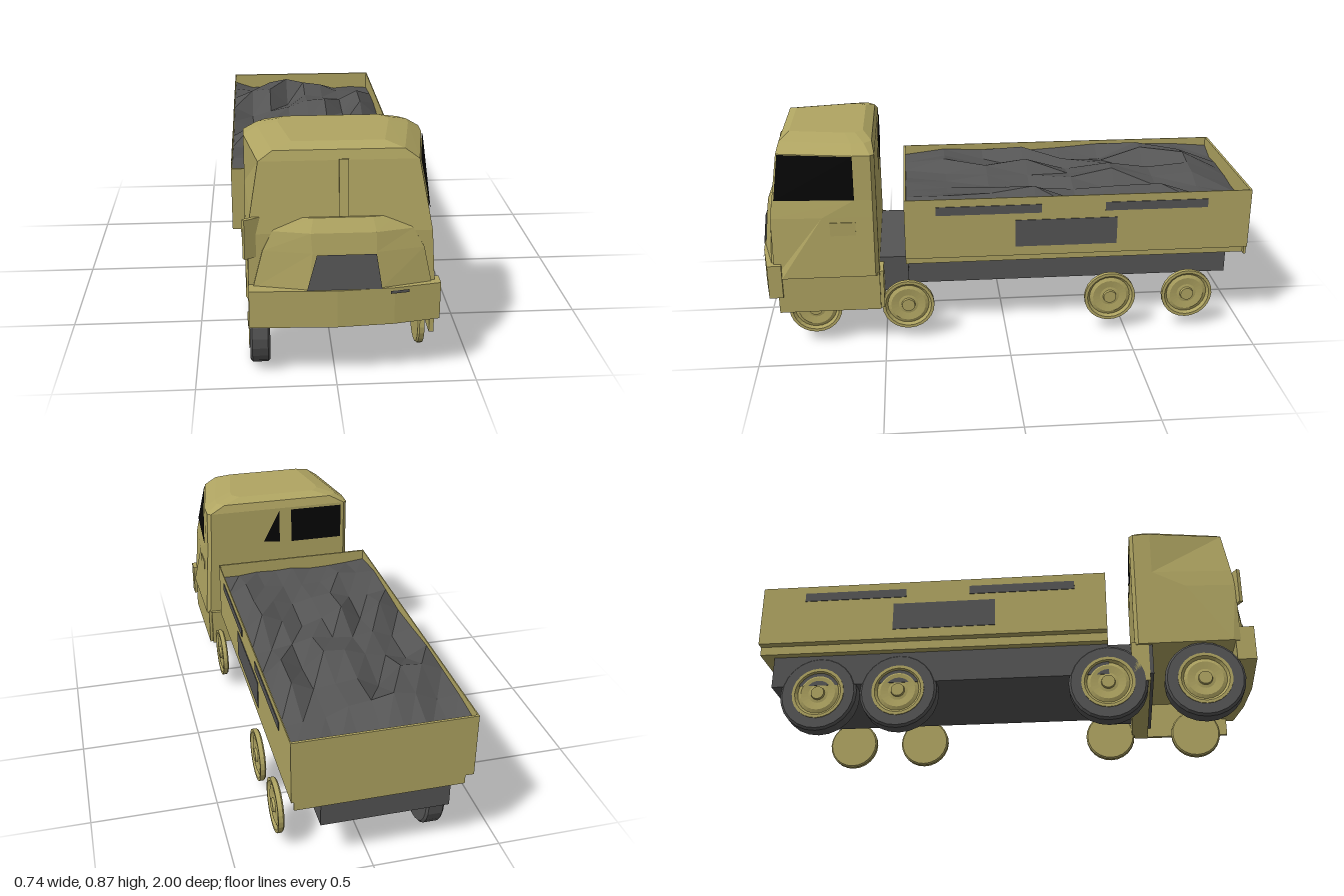
import * as THREE from 'three';

const paint = (name, color, side = THREE.FrontSide) => {
  const m = new THREE.MeshStandardMaterial({ color, flatShading: true, side });
  m.name = name;
  return m;
};
const khaki = paint('khakiPaint', 0xb0a562);
const grey = paint('darkGrey', 0x555555, THREE.DoubleSide);
const black = paint('blackGlass', 0x060606, THREE.DoubleSide);

export function createModel() {
  const truck = new THREE.Group();
  truck.name = 'truck';

  const add = (name, geometry, material, parent = truck) => {
    const mesh = new THREE.Mesh(geometry, material);
    mesh.name = name;
    parent.add(mesh);
    return mesh;
  };

  // Box given by its limits on each axis
  const box = (name, material, x0, x1, y0, y1, z0, z1) => {
    const mesh = add(name, new THREE.BoxGeometry(x1 - x0, y1 - y0, z1 - z0), material);
    mesh.position.set((x0 + x1) / 2, (y0 + y1) / 2, (z0 + z1) / 2);
    return mesh;
  };

  // Flat polygon from corners in order
  const plate = (name, material, corners) => {
    const g = new THREE.BufferGeometry();
    g.setAttribute('position', new THREE.Float32BufferAttribute(corners.flat(), 3));
    const index = [];
    for (let i = 1; i < corners.length - 1; i++) index.push(0, i, i + 1);
    g.setIndex(index);
    g.computeVertexNormals();
    return add(name, g, material);
  };

  // Closed loft through level eight-sided sections, bottom to top
  // section: [y, x0, x1, z0, z1, frontChamferX, frontChamferZ, rearChamfer]
  const loft = (name, material, sections) => {
    const pos = [], index = [];
    for (const [y, x0, x1, z0, z1, cx, cz, r] of sections) {
      [[x0 + cx, z1], [x1 - cx, z1], [x1, z1 - cz], [x1, z0 + r],
        [x1 - r, z0], [x0 + r, z0], [x0, z0 + r], [x0, z1 - cz]]
        .forEach(([x, z]) => pos.push(x, y, z));
    }
    const top = (sections.length - 1) * 8;
    for (let s = 0; s < top; s += 8) {
      for (let i = 0; i < 8; i++) {
        const j = (i + 1) % 8;
        index.push(s + i, s + j, s + 8 + j, s + i, s + 8 + j, s + 8 + i);
      }
    }
    for (let i = 1; i < 7; i++) index.push(top, top + i, top + i + 1, 0, i + 1, i);
    const g = new THREE.BufferGeometry();
    g.setAttribute('position', new THREE.Float32BufferAttribute(pos, 3));
    g.setIndex(index);
    g.computeVertexNormals();
    return add(name, g, material);
  };

  // Cab shell, narrowing toward the windscreen, with rounded roof
  loft('cab', khaki, [
    [0.31, -0.315, 0.36, 0.515, 0.93, 0.01, 0.03, 0.015],
    [0.56, -0.315, 0.345, 0.515, 0.93, 0.012, 0.2, 0.015],
    [0.63, -0.315, 0.34, 0.515, 0.92, 0.02, 0.32, 0.015],
    [0.81, -0.315, 0.335, 0.515, 0.895, 0.05, 0.295, 0.015],
    [0.845, -0.265, 0.285, 0.525, 0.885, 0.05, 0.28, 0.03],
    [0.865, -0.19, 0.21, 0.56, 0.85, 0.04, 0.22, 0.03],
  ]);
  box('cabRearSkirt', khaki, -0.305, 0.34, 0.157, 0.32, 0.5, 0.57);
  box('cabSideSkirt', khaki, 0.335, 0.352, 0.157, 0.32, 0.515, 0.92);
  box('doorHandlePlate', khaki, 0.34, 0.35, 0.485, 0.54, 0.6, 0.7);

  // Windscreen centre bar
  const bar = box('windscreenBar', khaki, 0.01, 0.043, 0.615, 0.815, 0.903, 0.915);
  bar.rotation.x = -0.138;

  // Side and rear windows
  plate('sideWindow', black, [
    [0.325, 0.632, 0.912], [0.345, 0.632, 0.6], [0.34, 0.808, 0.6], [0.29, 0.808, 0.89]]);
  plate('rearWindow', black, [
    [-0.05, 0.642, 0.512], [-0.285, 0.642, 0.512], [-0.285, 0.8, 0.512], [-0.05, 0.8, 0.512]]);
  plate('rearWindowCorner', black, [
    [0.08, 0.655, 0.512], [0.005, 0.645, 0.512], [0.005, 0.8, 0.512]]);

  // Sloping nose, grille and mirror
  loft('nose', khaki, [
    [0.36, -0.29, 0.335, 0.86, 0.985, 0.19, 0.045, 0.005],
    [0.5, -0.255, 0.305, 0.86, 0.97, 0.17, 0.035, 0.005],
    [0.57, -0.22, 0.265, 0.86, 0.96, 0.13, 0.03, 0.005],
    [0.615, -0.17, 0.215, 0.86, 0.93, 0.09, 0.02, 0.005],
  ]);
  plate('grille', grey, [
    [-0.105, 0.37, 0.99], [0.155, 0.37, 0.99], [0.135, 0.496, 0.976], [-0.07, 0.496, 0.976]]);
  const mirror = box('mirror', khaki, -0.323, -0.26, 0.475, 0.62, 0.922, 0.937);
  mirror.rotation.y = 0.5;

  // Bumper, slightly bowed and skewed in plan
  const plan = new THREE.Shape([[-0.305, -0.91], [0.365, -0.9], [0.365, -0.955], [0.2, -0.985],
    [0, -0.998], [-0.305, -0.985]].map(([x, z]) => new THREE.Vector2(x, z)));
  const bumper = add('bumper', new THREE.ExtrudeGeometry(plan, { depth: 0.14, bevelEnabled: false }), khaki);
  bumper.rotation.x = -Math.PI / 2;
  bumper.position.y = 0.23;
  plate('bumperLamp', grey, [
    [0.185, 0.35, 0.991], [0.25, 0.35, 0.981], [0.25, 0.361, 0.981], [0.185, 0.361, 0.991]]);

  // Chassis
  box('chassis', grey, -0.303, 0.19, 0.19, 0.32, -0.95, 0.41);
  box('chassisFront', grey, -0.25, 0.25, 0.19, 0.34, 0.4, 0.52);
  box('chassisCrossbeam', grey, -0.3, 0.31, 0.188, 0.31, 0.565, 0.585);

  // Open cargo bed
  box('bedBase', khaki, -0.335, 0.28, 0.32, 0.36, -0.99, 0.41);
  box('bedFloor', khaki, -0.368, 0.31, 0.355, 0.37, -0.99, 0.41);
  box('bedSide', khaki, -0.368, -0.364, 0.355, 0.608, -0.99, 0.41);
  box('bedSide', khaki, 0.306, 0.31, 0.355, 0.608, -0.99, 0.41);
  box('bedFront', khaki, -0.368, 0.31, 0.355, 0.608, 0.402, 0.41);
  box('tailgate', khaki, -0.368, 0.31, 0.355, 0.608, -1, -0.99);
  box('tailgateLip', khaki, -0.335, 0.3, 0.32, 0.36, -1, -0.99);

  // Painted panels on both bed sides
  for (const x of [-0.371, 0.309]) {
    box('bedStripe', grey, x, x + 0.004, 0.54, 0.576, -0.14, 0.285);
    box('bedStripe', grey, x, x + 0.004, 0.54, 0.576, -0.82, -0.4);
    box('bedPanel', grey, x, x + 0.004, 0.395, 0.51, -0.45, -0.035);
  }

  // Lumpy load: height range of each row from back to front, lower at the edges
  const noise = (i) => {
    const s = Math.sin(i * 127.1 + 3.7) * 43758.5453;
    return s - Math.floor(s);
  };
  const lumps = [0.02, 0.085, 0.085, 0.085, 0.055, 0.085, 0.055, 0.06, 0.015];
  const cols = 8, rows = 8;
  const load = new THREE.PlaneGeometry(0.67, 1.392, cols, rows);
  load.rotateX(-Math.PI / 2);
  const p = load.attributes.position;
  for (let i = 0; i < p.count; i++) {
    const c = i % (cols + 1), r = Math.floor(i / (cols + 1));
    const base = c === 0 ? 0.565 : c === cols || r === 0 ? 0.53 : 0.545;
    p.setY(i, base + (c % cols === 0 ? 0.03 : lumps[r]) * noise(i));
  }
  load.computeVertexNormals();
  add('load', load, grey).position.set(-0.029, 0, -0.294);

  // Wheels: bare rims on one side, rims with tyres on the other
  const v = (pts) => pts.map(([r, y]) => new THREE.Vector2(r, y));
  const rimGeometry = new THREE.LatheGeometry(v([[0, -0.012], [0.1, -0.012], [0.106, -0.006],
    [0.106, 0.012], [0.094, 0.012], [0.084, 0.002], [0.07, 0.008], [0.04, 0.004],
    [0.028, 0.006], [0.026, 0.016], [0, 0.016]]), 24);
  const tyreGeometry = new THREE.LatheGeometry(v([[0.1, -0.036], [0.147, -0.036], [0.156, -0.028],
    [0.156, 0.028], [0.147, 0.036], [0.1, 0.036], [0.1, -0.036]]), 24);
  for (const z of [0.78, 0.405, -0.43, -0.755]) {
    for (const side of [1, -1]) {
      const wheel = new THREE.Group();
      wheel.name = 'wheel';
      wheel.rotation.z = -side * Math.PI / 2;
      wheel.position.set(side > 0 ? 0.314 : -0.269, 0.156, z);
      truck.add(wheel);
      const rim = add('rim', rimGeometry, khaki, wheel);
      if (side < 0) {
        rim.position.y = 0.028;
        add('tyre', tyreGeometry, grey, wheel);
        const inner = add('innerRim', rimGeometry, khaki, wheel);
        inner.rotation.x = Math.PI;
        inner.position.y = -0.022;
      }
    }
  }
  return truck;
}
